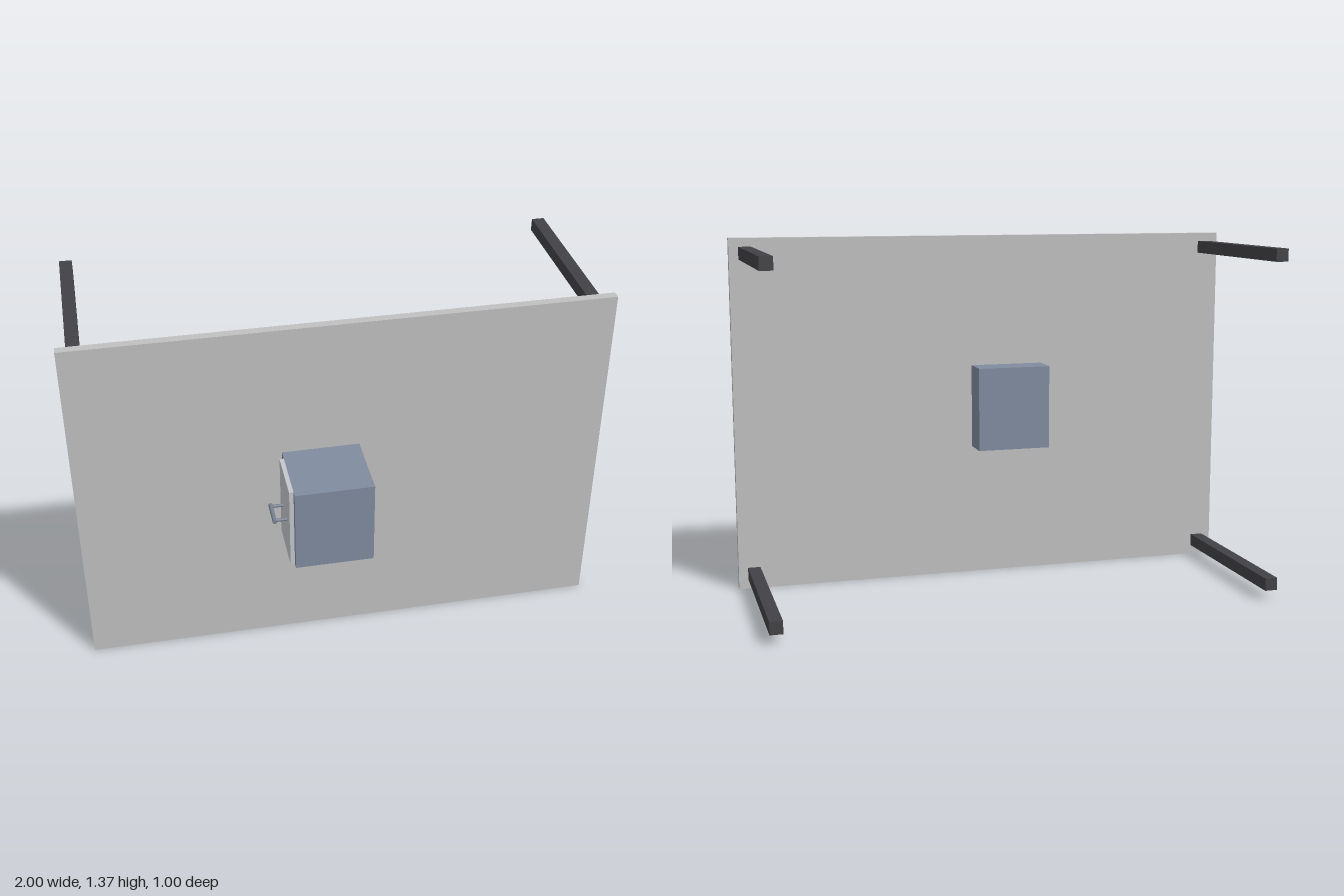
import * as THREE from 'three';

export function createModel() {
  const model = new THREE.Group();
  model.name = 'panelWithCabinet';

  const material = (name, color) => {
    const m = new THREE.MeshStandardMaterial({ color });
    m.name = name;
    return m;
  };
  const panelGrey = material('panel grey', 0xc0c0c0);
  const legDark = material('leg charcoal', 0x424246);
  const boxBlue = material('cabinet blue grey', 0x808c9f);
  const doorPale = material('door pale grey', 0xc4c8cc);
  const handleSteel = material('handle steel', 0x78828f);

  // Box given by its lower and upper limits on each axis
  const box = (name, mat, [x0, x1], [y0, y1], [z0, z1], parent = model) => {
    const mesh = new THREE.Mesh(new THREE.BoxGeometry(x1 - x0, y1 - y0, z1 - z0), mat);
    mesh.position.set((x0 + x1) / 2, (y0 + y1) / 2, (z0 + z1) / 2);
    mesh.name = name;
    parent.add(mesh);
  };

  // Upright board
  box('board', panelGrey, [-1, 1], [0, 1.367], [0.197, 0.23]);

  // Four legs reaching back from the corners
  for (const x of [-0.94, 0.94]) {
    for (const y of [0.06, 1.31]) {
      box('leg', legDark, [x - 0.024, x + 0.024], [y - 0.024, y + 0.024], [-0.5, 0.197]);
    }
  }

  // Cabinet passing through the board
  box('cabinet', boxBlue, [-0.235, 0.055], [0.522, 0.851], [0.083, 0.5]);

  // Door on the cabinet's right side
  box('door', doorPale, [-0.251, -0.235], [0.522, 0.851], [0.27, 0.477]);

  // Bar handle on two posts
  const handle = new THREE.Group();
  handle.name = 'handle';
  handle.position.set(-0.251, 0.686, 0.373);
  const rod = (name, radius, length) => {
    const mesh = new THREE.Mesh(new THREE.CylinderGeometry(radius, radius, length, 16), handleSteel);
    mesh.name = name;
    handle.add(mesh);
    return mesh;
  };
  const bar = rod('handleBar', 0.008, 0.105);
  bar.rotation.x = Math.PI / 2;
  bar.position.x = -0.046;
  for (const side of [-1, 1]) {
    const post = rod('handlePost', 0.006, 0.046);
    post.rotation.z = Math.PI / 2;
    post.position.set(-0.023, 0, side * 0.042);
  }
  model.add(handle);

  return model;
}
